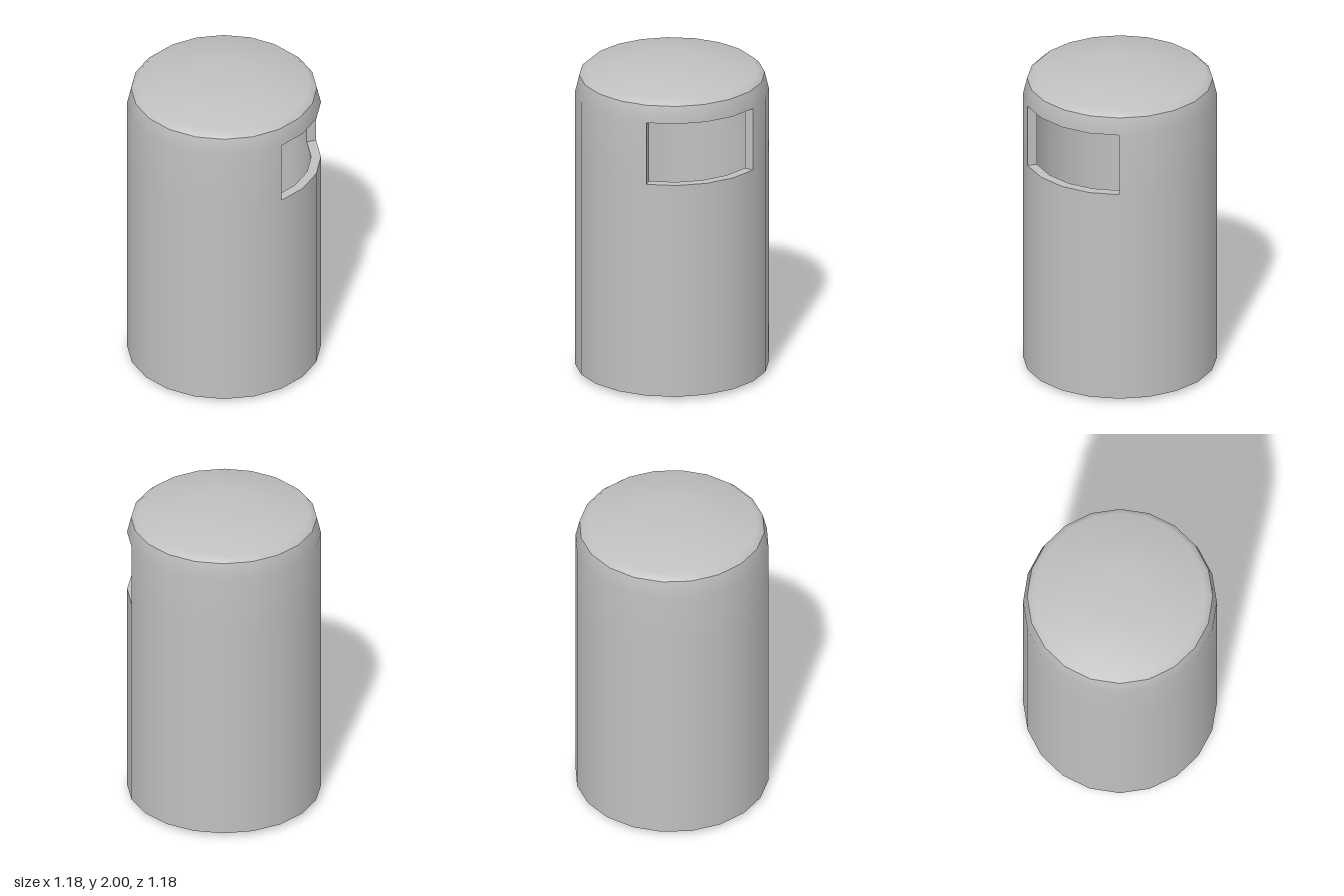
import * as THREE from 'three';

const SIDES = 20;
const STEP = (Math.PI * 2) / SIDES;
const OUTER = 0.59, INNER = 0.53;
const SLOT_LOW = 1.4, SLOT_HIGH = 1.8;
const SLOT_FIRST = 3, SLOT_SIDES = 4; // slot spans four sides, centred on +x

export function createModel() {
  const group = new THREE.Group();
  const grey = new THREE.MeshStandardMaterial({ color: 0xc0c0c0 });
  grey.name = 'plain grey';

  const add = (name, geometry) => {
    const mesh = new THREE.Mesh(geometry, grey);
    mesh.name = name;
    group.add(mesh);
    return mesh;
  };

  const lathe = (points, sides = SIDES, first = 0) =>
    new THREE.LatheGeometry(points.map(([r, y]) => new THREE.Vector2(r, y)), sides, first * STEP, sides * STEP);

  // Lathe with the slot sides left out of one profile row
  const slottedLathe = (points, slotRow) => {
    const geometry = lathe(points);
    const rows = points.length - 1;
    const kept = Array.from(geometry.index.array).filter((_, k) => {
      const quad = Math.floor(k / 6);
      const side = Math.floor(quad / rows);
      const inSlot = side >= SLOT_FIRST && side < SLOT_FIRST + SLOT_SIDES;
      return !(inSlot && quad % rows === slotRow);
    });
    geometry.setIndex(kept);
    return geometry;
  };

  // Outer shell: straight wall, sloped shoulder, domed lid, shallow base
  add('outerWall', slottedLathe([[OUTER, 0.025], [OUTER, SLOT_LOW], [OUTER, SLOT_HIGH], [0.565, 1.905]], 1));
  add('lid', lathe([[0.565, 1.905], [0.525, 1.942], [0.3, 1.985], [0.17, 2], [0, 2]]));
  add('base', lathe([[0, 0], [0.25, 0.003], [OUTER, 0.025]]));

  // Hollow inside, facing inward
  add('innerWall', slottedLathe([[0.51, 1.86], [INNER, SLOT_HIGH], [INNER, SLOT_LOW], [INNER, 0.08]], 1));
  add('innerCeiling', lathe([[0, 1.94], [0.3, 1.925], [0.51, 1.86]]));
  add('innerFloor', lathe([[INNER, 0.08], [0, 0.06]]));

  // Thickness of the wall around the slot
  add('slotSill', lathe([[OUTER, SLOT_LOW], [INNER, SLOT_LOW]], SLOT_SIDES, SLOT_FIRST));
  add('slotLintel', lathe([[INNER, SLOT_HIGH], [OUTER, SLOT_HIGH]], SLOT_SIDES, SLOT_FIRST));
  for (const [name, side, turn] of [
    ['frontSlotJamb', SLOT_FIRST, Math.PI / 2],
    ['backSlotJamb', SLOT_FIRST + SLOT_SIDES, -Math.PI / 2],
  ]) {
    const angle = side * STEP;
    const middle = (OUTER + INNER) / 2;
    const jamb = add(name, new THREE.PlaneGeometry(OUTER - INNER, SLOT_HIGH - SLOT_LOW));
    jamb.position.set(middle * Math.sin(angle), (SLOT_LOW + SLOT_HIGH) / 2, middle * Math.cos(angle));
    jamb.rotation.y = angle + turn;
  }

  return group;
}
